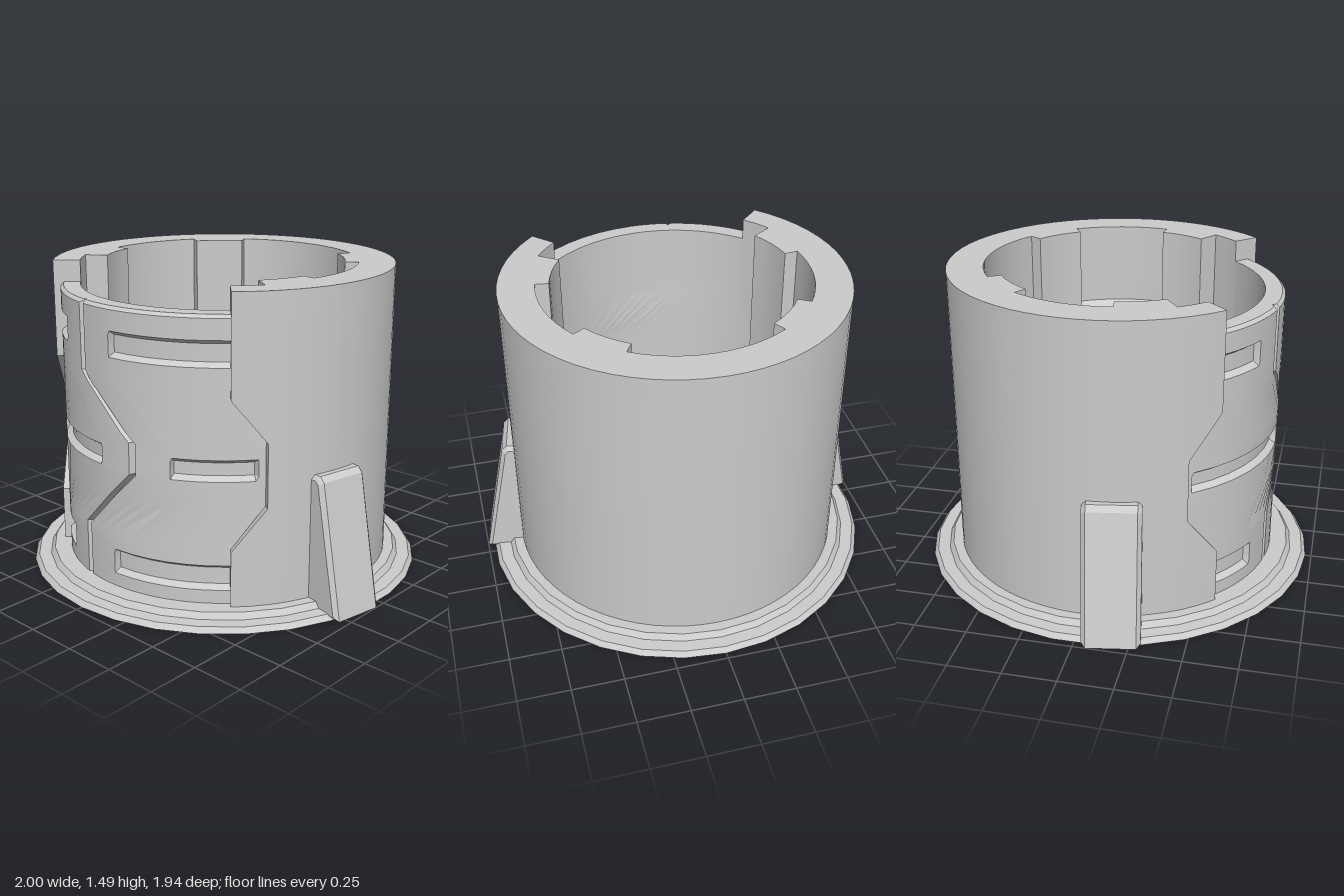
import * as THREE from 'three';
import { toCreasedNormals } from 'three/addons/utils/BufferGeometryUtils.js';

const RAD = Math.PI / 180;
const HEIGHT = 1.49, R_WALL = 0.82, R_PANEL = 0.785, R_BORE = 0.58, R_RECESS = 0.69;

// Linear interpolation through [key, value] pairs
function lerpTable(table, k) {
  if (k <= table[0][0]) return table[0][1];
  for (let i = 1; i < table.length; i++) {
    const [k0, v0] = table[i - 1], [k1, v1] = table[i];
    if (k <= k1) return v0 + ((v1 - v0) * (k - k0)) / (k1 - k0);
  }
  return table[table.length - 1][1];
}

// Half angle of the front opening at a height
const openingAngle = (y) =>
  lerpTable([[0.32, 44.5], [0.52, 55.9], [0.82, 55.9], [1.02, 44.5]], y) * RAD;

// Curved solid: each row is a list of columns {t: angle from front, ro, ri, y}
function curvedSolid(rows) {
  const pos = [];
  const pt = (c, r) => [r * Math.sin(c.t), c.y, r * Math.cos(c.t)];
  const out = (c) => pt(c, c.ro), inn = (c) => pt(c, c.ri);
  const quad = (a, b, c, d) => pos.push(...a, ...b, ...c, ...a, ...c, ...d);
  const last = rows[0].length - 1;
  for (let j = 0; j < rows.length - 1; j++) {
    const A = rows[j], B = rows[j + 1];
    for (let i = 0; i < last; i++) {
      quad(out(A[i]), out(A[i + 1]), out(B[i + 1]), out(B[i]));
      quad(inn(A[i + 1]), inn(A[i]), inn(B[i]), inn(B[i + 1]));
    }
    quad(inn(A[0]), out(A[0]), out(B[0]), inn(B[0]));
    quad(out(A[last]), inn(A[last]), inn(B[last]), out(B[last]));
  }
  const bottom = rows[0], top = rows[rows.length - 1];
  for (let i = 0; i < last; i++) {
    quad(out(top[i]), out(top[i + 1]), inn(top[i + 1]), inn(top[i]));
    quad(inn(bottom[i]), inn(bottom[i + 1]), out(bottom[i + 1]), out(bottom[i]));
  }
  const g = new THREE.BufferGeometry();
  g.setAttribute('position', new THREE.Float32BufferAttribute(pos, 3));
  return toCreasedNormals(g, 25 * RAD);
}

// Insert columns between break points
function subdivide(cols, steps) {
  const res = [cols[0]];
  for (let i = 1; i < cols.length; i++) {
    const a = cols[i - 1], b = cols[i], n = steps(i);
    for (let k = 1; k <= n; k++) {
      const f = k / n, c = {};
      for (const key of ['t', 'ro', 'ri', 'y']) c[key] = a[key] + (b[key] - a[key]) * f;
      res.push(c);
    }
  }
  return res;
}

// Thick wall with the front opening and three key slots in the bore
function wallGeometry() {
  const rows = [0.05, 0.32, 0.52, 0.82, 1.02, 1.05, 1.09, HEIGHT].map((y) => {
    const slot = lerpTable([[1.05, R_BORE], [1.09, 0.645]], y);
    const half = [
      [openingAngle(y) / RAD, R_RECESS], [57, R_RECESS], [57.2, R_BORE],
      [80, R_BORE], [80.2, slot], [123, slot], [123.2, R_BORE],
      [147, R_BORE], [147.2, slot], [180, slot],
    ];
    const all = [...half, ...half.slice(0, -1).reverse().map(([a, r]) => [360 - a, r])];
    const cols = all.map(([a, ri]) => ({ t: a * RAD, ro: R_WALL, ri, y }));
    const spans = [12, 0.2, 23, 0.2, 43, 0.2, 24, 0.2, 33];
    const counts = [...spans, ...spans.slice().reverse()].map((s) => Math.ceil(s / 6));
    return subdivide(cols, (i) => counts[i - 1]);
  });
  return curvedSolid(rows);
}

// Front panel with a zigzag groove and six recessed slots
function panelGeometry() {
  const bands = [
    { y0: 0.12, y1: 0.24, open: true },
    { y0: 0.64, y1: 0.74, open: false },
    { y0: 1.155, y1: 1.275, open: true },
  ];
  const TOP = 1.385, DEPTH = 0.03, EV = 0.02, EH = 0.008, GROOVE = 0.017;
  const ys = [0.05, 0.32, 0.52, 0.63, 0.78, 0.82, 1.02, 1.06, TOP - 0.015, TOP];
  for (const b of bands) ys.push(b.y0, b.y0 + EV, b.y1 - EV, b.y1);
  ys.sort((a, b) => a - b);

  const middle = (y) => lerpTable([[0.32, -0.16], [0.63, 0.15], [0.78, 0.15], [1.06, -0.16]], y);
  // Slot limits move between the end bands and the middle band
  const blend = (y, end, mid) =>
    lerpTable([[0.32, end], [0.6, mid], [0.78, mid], [1.06, end]], y);

  const rows = ys.map((y) => {
    const edge = R_PANEL * Math.sin(openingAngle(y));
    const g = middle(y);
    const band = bands.find((b) => y >= b.y0 + EV - 1e-6 && y <= b.y1 - EV + 1e-6);
    const d = band ? DEPTH : 0;
    const dEdge = band && band.open ? DEPTH : 0;
    const outer = Math.min(edge - 0.004, blend(y, 0.548, 0.632));
    const b = blend(y, -0.33, -0.035), c = blend(y, 0.03, 0.33);
    const bevel = y > TOP - 0.005 ? 0.015 : 0;
    const points = [
      [-edge, dEdge], [-outer, dEdge], [-outer + EH, d], [b - EH, d], [b, 0],
      [g - GROOVE, 0], [g, 0.03], [g + GROOVE, 0],
      [c, 0], [c + EH, d], [outer - EH, d], [outer, dEdge], [edge, dEdge],
    ];
    const cols = points.map(([x, dep]) => ({
      t: Math.asin(x / R_PANEL), ro: R_PANEL - Math.max(dep, bevel), ri: R_RECESS, y,
    }));
    const counts = [1, 1, 6, 1, 3, 1, 1, 3, 1, 6, 1, 1];
    return subdivide(cols, (i) => counts[i - 1]);
  });
  return curvedSolid(rows);
}

// Stepped base flange, hollow underneath, with a sunken centre floor
function baseGeometry() {
  const profile = [
    [0, 0], [0.585, 0], [0.6, 0.03], [0.86, 0.03], [0.875, 0], [0.97, 0], [0.95, 0.025],
    [0.89, 0.027], [0.87, 0.055], [0.6, 0.055], [0.585, 0.025], [0, 0.025],
  ].map(([x, y]) => new THREE.Vector2(x, y));
  return toCreasedNormals(new THREE.LatheGeometry(profile, 30), 25 * RAD);
}

// Tapered side buttress with chamfered edges
function buttressGeometry() {
  const shape = new THREE.Shape(
    [[0.78, 0], [0.995, 0], [0.87, 0.625], [0.845, 0.65], [0.78, 0.65]]
      .map(([x, y]) => new THREE.Vector2(x, y)));
  const g = new THREE.ExtrudeGeometry(shape, {
    depth: 0.23, bevelEnabled: true, bevelSegments: 1,
    bevelSize: 0.02, bevelThickness: 0.02, bevelOffset: -0.02,
  });
  return g.translate(0, 0, -0.115);
}

export function createModel() {
  const model = new THREE.Group();
  model.name = 'cupHousing';
  const material = new THREE.MeshStandardMaterial({ color: 0xcccccc });
  const add = (name, geometry) => {
    const mesh = new THREE.Mesh(geometry, material);
    mesh.name = name;
    model.add(mesh);
    return mesh;
  };
  add('baseFlange', baseGeometry());
  add('cylinderWall', wallGeometry());
  add('frontPanel', panelGeometry());
  const buttress = buttressGeometry();
  add('leftButtress', buttress).rotation.y = -10 * RAD;
  add('rightButtress', buttress).rotation.y = 190 * RAD;
  return model;
}
